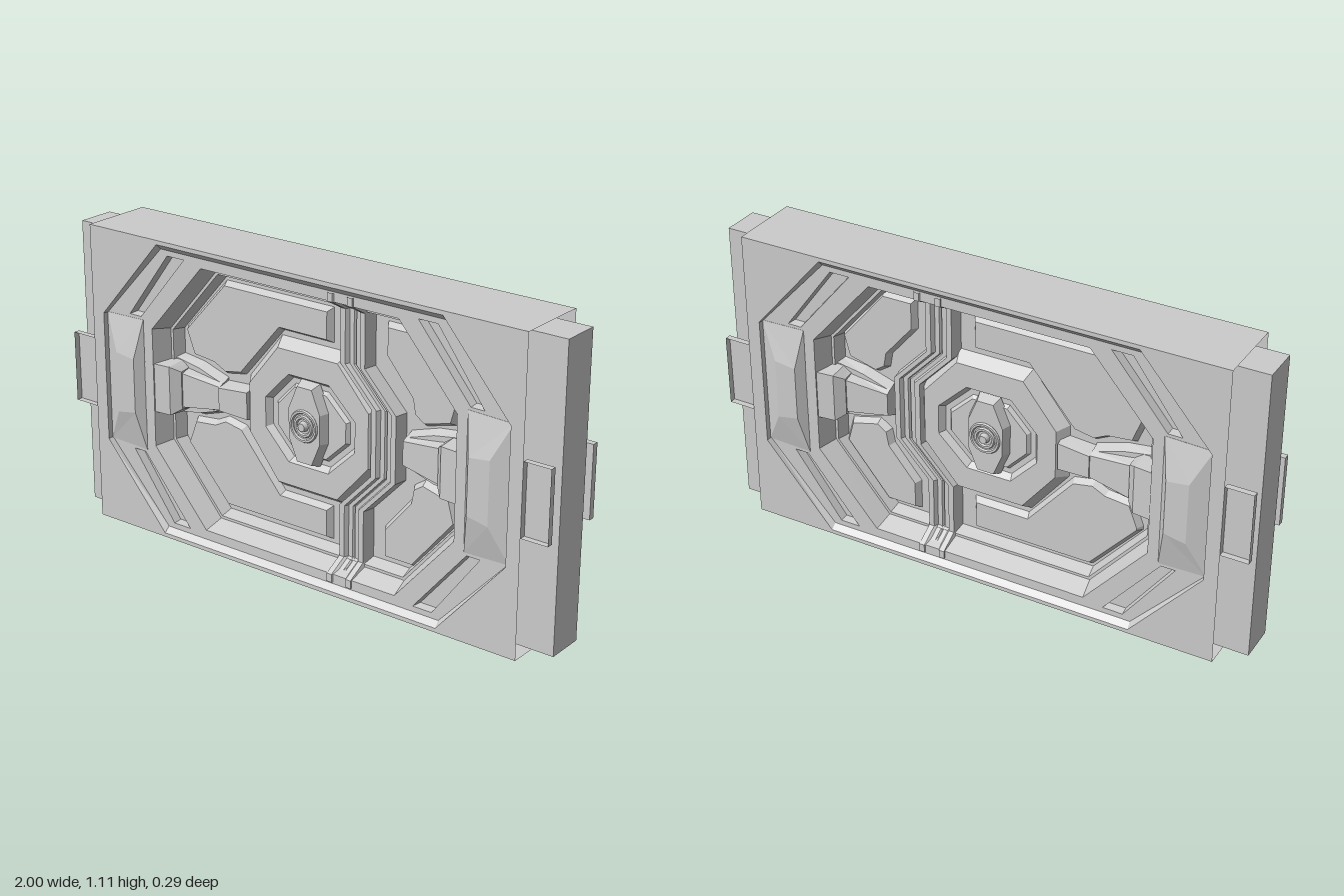
import * as THREE from 'three';

const CY = 0.555; // height of the door's centre line
const material = new THREE.MeshStandardMaterial({ color: 0xcccccc, flatShading: true, side: THREE.DoubleSide });

// Give a flat 2D outline a depth
const at = (pts, z) => pts.map(([x, y]) => [x, y, z]);
// Mirror outlines left-right and top-bottom, keeping them counter-clockwise
const flipX = (pts) => pts.map(([x, y, z]) => [-x, y, z]).reverse();
const flipY = (pts) => pts.map(([x, y, z]) => [x, 2 * CY - y, z]).reverse();

// Shrink a counter-clockwise outline by d with mitred corners
function inset(pts, d) {
  const n = pts.length;
  const normal = (a, b) => {
    const l = Math.hypot(b[0] - a[0], b[1] - a[1]);
    return [(a[1] - b[1]) / l, (b[0] - a[0]) / l];
  };
  return pts.map((p, i) => {
    const u = normal(pts[(i + n - 1) % n], p), v = normal(p, pts[(i + 1) % n]);
    const k = d / (1 + u[0] * v[0] + u[1] * v[1]);
    return [p[0] + (u[0] + v[0]) * k, p[1] + (u[1] + v[1]) * k];
  });
}

// Skin a series of loops, with an optional cap on the last one
function loft(loops, closed = true, cap = closed) {
  const pos = [];
  const tri = (a, b, c) => pos.push(...a, ...b, ...c);
  for (let k = 0; k + 1 < loops.length; k++) {
    const A = loops[k], B = loops[k + 1], n = A.length;
    for (let i = 0; i < (closed ? n : n - 1); i++) {
      const j = (i + 1) % n;
      tri(A[i], A[j], B[j]);
      tri(A[i], B[j], B[i]);
    }
  }
  if (cap) {
    const last = loops.at(-1);
    const flat = last.map(([x, y]) => new THREE.Vector2(x, y));
    THREE.ShapeUtils.triangulateShape(flat, []).forEach(([a, b, c]) => tri(last[a], last[b], last[c]));
  }
  const g = new THREE.BufferGeometry();
  g.setAttribute('position', new THREE.Float32BufferAttribute(pos, 3));
  g.computeVertexNormals();
  return g;
}

// Flat sheet with holes at depth z
function sheet(outline, holes, z) {
  const vectors = (pts) => pts.map(([x, y]) => new THREE.Vector2(x, y));
  const shape = new THREE.Shape(vectors(outline));
  shape.holes = holes.map((h) => new THREE.Path(vectors(h)));
  return new THREE.ShapeGeometry(shape).translate(0, 0, z);
}

// Mirror a geometry to the back, swapping corners so faces stay outward
function toBack(source) {
  const g = source.index ? source.toNonIndexed() : source.clone();
  const p = g.attributes.position;
  for (let i = 0; i < p.count; i += 3) {
    const v = [0, 2, 1].map((k) => [p.getX(i + k), p.getY(i + k), -p.getZ(i + k)]);
    v.forEach((c, k) => p.setXYZ(i + k, ...c));
  }
  g.computeVertexNormals();
  return g;
}

// Octagon from half width, half height, top corner x and side corner half height
const octagon = (hx, hy, cx, cy) => [
  [-cx, CY - hy], [cx, CY - hy], [hx, CY - cy], [hx, CY + cy],
  [cx, CY + hy], [-cx, CY + hy], [-hx, CY + cy], [-hx, CY - cy]];

export function createModel() {
  const model = new THREE.Group();
  model.name = 'blastDoor';
  const add = (name, g) => {
    const m = new THREE.Mesh(g, material);
    m.name = name;
    model.add(m);
  };
  // Every face part exists on the front and the back
  const both = (name, g) => {
    add(name + 'Front', g);
    add(name + 'Back', toBack(g));
  };
  const raised = (name, pts, z0, z1, bevel) =>
    both(name, loft([at(pts, z0), at(inset(pts, bevel), z1)]));

  // Frame: face plates with an octagonal opening, plus top and bottom
  const opening = octagon(0.85, 0.54, 0.59, 0.24);
  both('framePlate', sheet([[-0.9, 0], [0.9, 0], [0.9, 1.11], [-0.9, 1.11]], [opening], 0.135));
  add('frameTop', new THREE.PlaneGeometry(1.8, 0.27).rotateX(-Math.PI / 2).translate(0, 1.11, 0));
  add('frameBottom', new THREE.PlaneGeometry(1.8, 0.27).rotateX(Math.PI / 2));

  // Rim: sloping lip, flat band with four long diagonal slots
  const lip = octagon(0.848, 0.52, 0.588, 0.238);
  const bandEdge = octagon(0.64, 0.485, 0.41, 0.22);
  const slot = [[0.69, 0.81], [0.742, 0.81], [0.56, 1.055], [0.485, 1.055]];
  const slots = [slot, flipX(slot), flipY(slot), flipX(flipY(slot))];
  both('lip', loft([at(opening, 0.135), at(lip, 0.115)], true, false));
  both('rimBand', sheet(lip, [bandEdge, ...slots], 0.115));
  for (const s of slots) both('rimSlot', loft([at(s, 0.115), at(inset(s, 0.005), 0.085)]));

  // Stepped recess down to the door floor
  both('recess', loft([
    at(bandEdge, 0.115),
    at(octagon(0.615, 0.46, 0.4, 0.21), 0.045),
    at(octagon(0.605, 0.45, 0.395, 0.207), 0.045),
    at(octagon(0.59, 0.435, 0.39, 0.205), 0.0)]));

  for (const [side, flip, s] of [['left', (p) => p, 1], ['right', flipX, -1]]) {
    // Side wing and its shallow open trays, front and back
    add(side + 'Wing', new THREE.BoxGeometry(0.15, 1.07, 0.14).translate(s * 0.925, CY, 0));
    const tray = flip([[0.9, 0.43], [1, 0.43], [1, 0.69], [0.9, 0.69]]);
    both(side + 'Tray', loft([at(tray, 0.135), at(tray, 0.112)]));

    // Faceted side housing
    both(side + 'Housing', loft([
      at([[0.85, 0.315], [0.85, 0.795], [0.67, 0.8], [0.67, 0.31]], 0),
      at([[0.85, 0.315], [0.85, 0.795], [0.68, 0.8], [0.68, 0.31]], 0.116),
      at([[0.785, 0.44], [0.785, 0.665], [0.705, 0.655], [0.705, 0.455]], 0.146)].map(flip)));

    // Latch block, tapering neck and end pad, each from [x, half height, top z]
    const bar = (stations, grow, z) => [
      ...stations.map(([x, h, top]) => [x, CY + h + grow, z ?? top]),
      ...stations.map(([x, h, top]) => [x, CY - h - grow, z ?? top]).reverse()];
    const block = [[0.72, 0.09, 0.12], [0.575, 0.09, 0.105]];
    const shoulder = [[0.575, 0.09, 0.105], [0.545, 0.07, 0.075]];
    const neck = [[0.56, 0.065, 0.072], [0.39, 0.042, 0.052]];
    const pad = [[0.39, 0.042, 0.058], [0.27, 0.05, 0.05]];
    both(side + 'Latch', loft([bar(block, 0.01, 0), bar(block, 0)].map(flip)));
    both(side + 'LatchShoulder', loft([bar(shoulder, 0.01, 0), bar(shoulder, 0)].map(flip)));
    both(side + 'LatchNeck', loft([
      bar([[0.62, 0.1], [0.5, 0.085], [0.39, 0.05]], 0.015, 0),
      bar([[0.62, 0.1], [0.5, 0.08], [0.39, 0.045]], 0.005, 0.035)].map(flip)));
    both(side + 'LatchNeckTop', loft([bar(neck, 0.012, 0.03), bar(neck, 0)].map(flip)));
    if (s < 0) both('latchPad', loft([bar(pad, 0.012, 0), bar(pad, 0)].map(flip)));
  }

  // Raised door panels, mirrored above and below the centre line
  const largePanel = [[-0.57, 0.76], [-0.535, 0.67], [-0.44, 0.66], [-0.39, 0.635], [-0.31, 0.65],
    [-0.14, 0.85], [0.07, 0.85], [0.07, 0.975], [-0.39, 0.975], [-0.57, 0.775]];
  const smallPanel = [[0.29, 0.975], [0.29, 0.86], [0.395, 0.735], [0.405, 0.68], [0.45, 0.65],
    [0.565, 0.68], [0.59, 0.77], [0.42, 0.975]];
  for (const [name, pts] of [['LargePanel', largePanel], ['SmallPanel', smallPanel]]) {
    raised('upper' + name, pts, 0, 0.024, 0.014);
    raised('lower' + name, flipY(pts), 0, 0.024, 0.014);
  }

  // Seam: a grooved ridge that steps around the hub and climbs over the rim
  const upper = [[0.182, 1.07, 0.07], [0.182, 1.04, 0.07], [0.182, 1.0, 0], [0.182, 0.81, 0], [0.31, 0.675, 0]];
  const path = [...upper, ...flipY(upper)];
  const section = [[-0.058, 0], [-0.05, 0.05], [-0.03, 0.05], [-0.022, 0.035], [-0.005, 0.035], [0, 0.027],
    [0.005, 0.035], [0.022, 0.035], [0.03, 0.05], [0.05, 0.05], [0.058, 0]];
  both('seam', loft(section.map(([dx, z]) => path.map(([x, y, lift]) => [x + dx, y, z + lift])), false));

  // Hub plate with a sunken octagon
  const hub = [[-0.15, 0.28], [0.13, 0.28], [0.275, 0.445], [0.275, 0.665],
    [0.13, 0.83], [-0.15, 0.83], [-0.29, 0.655], [-0.29, 0.455]];
  const well = [[-0.09, 0.395], [0.08, 0.395], [0.19, 0.5], [0.19, 0.61],
    [0.08, 0.715], [-0.09, 0.715], [-0.19, 0.61], [-0.19, 0.5]];
  both('hub', loft([at(hub, 0), at(inset(hub, 0.03), 0.045), at(well, 0.045), at(inset(well, 0.016), 0.022),
    at(inset(well, 0.035), 0.022), at(inset(well, 0.045), 0.035)]));

  // Lens-shaped handle and its ringed knob
  const lens = [[-0.045, 0.405], [0.035, 0.405], [0.075, 0.5], [0.075, 0.61],
    [0.035, 0.705], [-0.045, 0.705], [-0.085, 0.61], [-0.085, 0.5]];
  raised('handle', lens, 0.03, 0.068, 0.014);
  for (const r of [0.052, 0.033])
    both('knobRing', new THREE.TorusGeometry(r, 0.007, 6, 24).translate(-0.005, CY, 0.07));
  both('knob', new THREE.CylinderGeometry(0.014, 0.022, 0.03, 16).rotateX(Math.PI / 2).translate(-0.005, CY, 0.07));

  return model;
}
